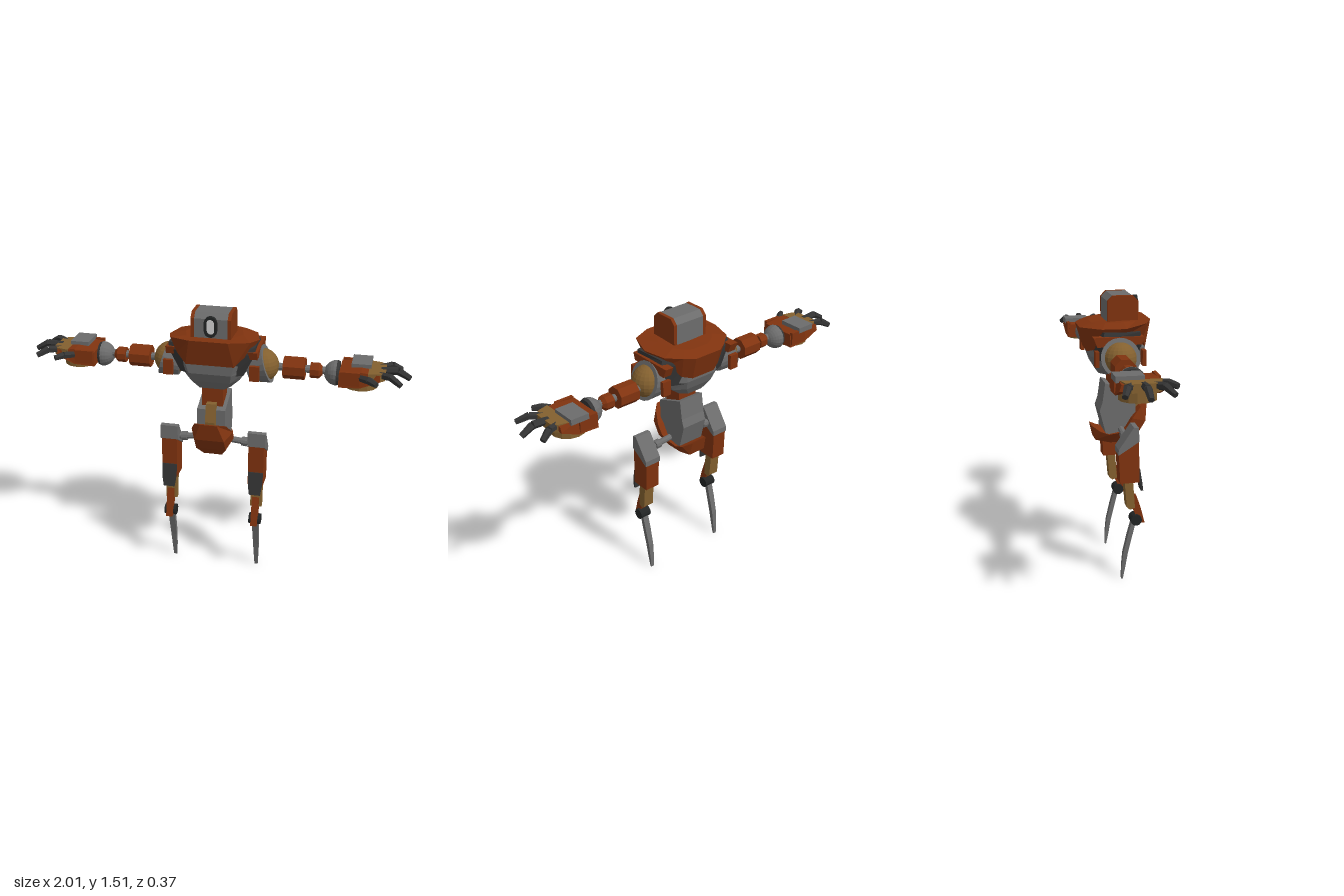
import * as THREE from 'three';

const mat = (name, color) => {
  const m = new THREE.MeshStandardMaterial({ color, flatShading: true });
  m.name = name;
  return m;
};

export function createModel() {
  const rust = mat('rust paint', 0x80330f), grey = mat('steel grey', 0x6c6c6c);
  const dark = mat('dark grey', 0x343434), tan = mat('tan', 0x83602f);
  const black = mat('black rubber', 0x222424), white = mat('pale lens', 0xd4d4d4);
  const model = new THREE.Group();
  model.name = 'robot';

  const add = (parent, name, geo, material, x = 0, y = 0, z = 0) => {
    const m = new THREE.Mesh(geo, material);
    m.name = name;
    m.position.set(x, y, z);
    parent.add(m);
    return m;
  };

  // Skin a closed solid through equal-length rings of points
  const loft = (rings) => {
    const n = rings[0].length, tris = [];
    for (let r = 0; r < rings.length - 1; r++) for (let i = 0; i < n; i++) {
      const j = (i + 1) % n, A = rings[r], B = rings[r + 1];
      tris.push([A[i], A[j], B[j]], [A[i], B[j], B[i]]);
    }
    const end = rings[rings.length - 1], start = rings[0];
    for (let i = 1; i < n - 1; i++) {
      tris.push([end[0], end[i], end[i + 1]], [start[0], start[i + 1], start[i]]);
    }
    const v = (p) => new THREE.Vector3(...p);
    const volume = tris.reduce((s, [a, b, c]) => s + v(a).dot(v(b).cross(v(c))), 0);
    if (volume < 0) tris.forEach((t) => t.reverse());
    const g = new THREE.BufferGeometry();
    g.setAttribute('position', new THREE.Float32BufferAttribute(tris.flat(2), 3));
    g.computeVertexNormals();
    return g;
  };
  // Mirrored horizontal ring from [x, z, y] points, front to back
  const ring = (half, y) => {
    const r = half.map(([x, z, py]) => [x, py ?? y, z]);
    return [...r, ...r.map(([x, py, z]) => [-x, py, z]).reverse()];
  };
  // Side profile of [z, y] points, extruded between two x positions
  const slab = (pts, x0, x1) => loft([x0, x1].map((x) => pts.map(([z, y]) => [x, y, z])));
  const box = (w, h, d) => new THREE.BoxGeometry(w, h, d);
  const cylX = (r0, r1, len, sides) => new THREE.CylinderGeometry(r1, r0, len, sides).rotateZ(-Math.PI / 2);
  const bar = (parent, name, a, b, r0, r1, material, sides = 6) => {
    const A = new THREE.Vector3(...a), B = new THREE.Vector3(...b), d = B.clone().sub(A);
    const mid = A.clone().add(B).multiplyScalar(0.5);
    const m = add(parent, name, new THREE.CylinderGeometry(r1, r0, d.length(), sides), material, mid.x, mid.y, mid.z);
    m.quaternion.setFromUnitVectors(new THREE.Vector3(0, 1, 0), d.normalize());
  };
  const stadium = (w, h, Type = THREE.Shape) => {
    const s = new Type();
    s.absarc(0, h - w, w, 0, Math.PI);
    s.absarc(0, w - h, w, Math.PI, Math.PI * 2);
    s.closePath();
    return s;
  };

  // Head
  const headSide = [[0.118, 1.37], [0.118, 1.485], [0.09, 1.513], [-0.015, 1.513], [-0.042, 1.485], [-0.042, 1.36]];
  add(model, 'headCore', slab(headSide.map(([z, y]) => [z * 0.98, y - 0.001]), -0.088, 0.088), grey);
  for (const s of [-1, 1]) add(model, 'headSidePlate', slab(headSide, s * 0.086, s * 0.104), rust);
  const rim = stadium(0.033, 0.054);
  rim.holes.push(stadium(0.02, 0.04, THREE.Path));
  add(model, 'eyeRim', new THREE.ExtrudeGeometry(rim, { depth: 0.02, bevelEnabled: false, curveSegments: 6 }), black, 0, 1.447, 0.112);
  add(model, 'eyeLens', new THREE.ExtrudeGeometry(stadium(0.021, 0.041), { depth: 0.006, bevelEnabled: false, curveSegments: 6 }), white, 0, 1.447, 0.115);

  // Flared collar, dark rib cage and grey lower chest
  add(model, 'collar', loft([
    ring([[0.125, 0.15, 1.25], [0.175, 0.125, 1.3], [0.2, 0.03, 1.325], [0.18, -0.08, 1.31], [0.12, -0.12, 1.24], [0.07, -0.145, 1.225]]),
    ring([[0.1, 0.182, 1.388], [0.205, 0.14, 1.385], [0.235, 0.03, 1.365], [0.205, -0.09, 1.36], [0.135, -0.15, 1.357], [0.08, -0.184, 1.353]]),
    ring([[0.08, 0.13, 1.385], [0.13, 0.1, 1.385], [0.15, 0.03, 1.385], [0.13, -0.06, 1.38], [0.09, -0.1, 1.375], [0.05, -0.12, 1.372]]),
  ]), rust);
  add(model, 'ribCage', loft([
    ring([[0.11, 0.125], [0.165, 0.1], [0.175, -0.085], [0.09, -0.12]], 1.19),
    ring([[0.13, 0.14], [0.225, 0.105], [0.225, -0.09], [0.1, -0.125]], 1.31),
    ring([[0.12, 0.13], [0.225, 0.1], [0.215, -0.08], [0.1, -0.12]], 1.345),
  ]), dark);
  add(model, 'lowerChest', loft([
    ring([[0.065, 0.09], [0.09, 0.04], [0.08, -0.05], [0.045, -0.08]], 1.1),
    ring([[0.1, 0.125], [0.14, 0.06], [0.14, -0.07], [0.08, -0.11]], 1.15),
    ring([[0.11, 0.148], [0.17, 0.07], [0.17, -0.08], [0.09, -0.128]], 1.2),
    ring([[0.125, 0.15], [0.18, 0.07], [0.18, -0.08], [0.09, -0.128]], 1.25),
  ]), grey);

  // Waist, pelvis and rounded belly plate
  add(model, 'waist', box(0.112, 0.17, 0.105), rust, 0, 1.04, 0.033);
  add(model, 'pelvis', slab([[0.115, 0.99], [-0.05, 1.05], [-0.065, 0.945], [-0.08, 0.9], [-0.045, 0.765], [0.05, 0.77], [0.115, 0.86]], -0.075, 0.075), grey);
  add(model, 'bellyStrip', slab([[0.122, 1.025], [0.09, 1.025], [0.1, 0.83], [0.14, 0.83], [0.148, 0.93]], -0.026, 0.026), tan);
  // Stations: outer z, y, half width, then inner z, y, half width
  add(model, 'bellyPlate', loft([
    [0.182, 0.93, 0.045, 0.14, 0.915, 0.085], [0.168, 0.835, 0.08, 0.09, 0.86, 0.112],
    [0.125, 0.765, 0.08, 0.06, 0.81, 0.11], [0.075, 0.713, 0.05, 0.03, 0.78, 0.095],
    [-0.02, 0.715, 0.05, -0.03, 0.77, 0.09], [-0.1, 0.735, 0.05, -0.075, 0.785, 0.08],
    [-0.118, 0.812, 0.045, -0.1, 0.8, 0.06],
  ].map(([oz, oy, ow, iz, iy, iw]) => [[-ow, oy, oz], [ow, oy, oz], [iw, iy, iz], [-iw, iy, iz]])), rust);

  for (const s of [1, -1]) {
    const side = s > 0 ? 'left' : 'right';
    const arm = new THREE.Group(), leg = new THREE.Group();
    arm.name = side + 'Arm';
    leg.name = side + 'Leg';
    arm.scale.x = leg.scale.x = s;
    model.add(arm, leg);

    // Shoulder
    add(arm, 'shoulderGuard', slab([[0.12, 1.325], [0.11, 1.285], [-0.12, 1.275], [-0.14, 1.325]], 0.19, 0.238), rust);
    for (const z of [0.12, -0.122]) add(arm, 'shoulderFin', box(0.05, 0.08, 0.02), rust, 0.225, 1.215, z);
    add(arm, 'shoulderSocket', cylX(0.075, 0.102, 0.1, 20), grey, 0.225, 1.212, -0.008).rotation.z = 0.3;
    add(arm, 'shoulderBall', new THREE.SphereGeometry(0.088, 20, 14), tan, 0.243, 1.215, -0.008);

    // Arm
    add(arm, 'armShaft', cylX(0.02, 0.02, 0.36, 10), grey, 0.47, 1.207, -0.024);
    add(arm, 'upperArmSleeve', cylX(0.058, 0.058, 0.112, 8).rotateX(Math.PI / 8), rust, 0.41, 1.207, -0.024);
    add(arm, 'elbowSleeve', cylX(0.04, 0.04, 0.045, 8).rotateX(Math.PI / 8), rust, 0.515, 1.203, -0.024);
    add(arm, 'elbowTip', cylX(0.04, 0.022, 0.018, 8).rotateX(Math.PI / 8), rust, 0.5465, 1.203, -0.024);
    const dome = new THREE.SphereGeometry(0.066, 18, 7, 0, Math.PI * 2, 0, Math.PI / 2).rotateZ(Math.PI / 2);
    add(arm, 'wristDome', dome, grey, 0.628, 1.197, -0.03);
    add(arm, 'wristRim', cylX(0.066, 0.06, 0.015, 18), dark, 0.635, 1.197, -0.03);

    // Hand: rust cuff, grey back plate and round tan palm
    add(arm, 'handCuff', loft([[0.645, 1.16, 1.235], [0.755, 1.165, 1.245], [0.85, 1.205, 1.235]].map(([x, y0, y1]) =>
      [[x, y0, 0.075], [x, y1, 0.065], [x, y1, -0.125], [x, y0, -0.135]])), rust);
    for (const z of [0.07, -0.13]) add(arm, 'cuffRail', box(0.1, 0.07, 0.018), rust, 0.7, 1.21, z);
    add(arm, 'handPlate', box(0.1, 0.03, 0.135), grey, 0.75, 1.247, -0.075);
    add(arm, 'palm', new THREE.CylinderGeometry(0.09, 0.09, 0.055, 14), tan, 0.75, 1.17, -0.03);
    add(arm, 'knuckleBlock', loft([[0.79, 0.1], [0.85, 0.085], [0.875, 0.06]].map(([x, w]) =>
      [[x, 1.2, -0.025 + w], [x, 1.243, -0.025 + w], [x, 1.243, -0.025 - w], [x, 1.2, -0.025 - w]])), tan);

    // Fingers and thumb: base, knuckle and tip
    [[[0.84, 1.225, -0.08], [0.9, 1.233, -0.108], [0.95, 1.205, -0.13]],
      [[0.85, 1.23, -0.025], [0.935, 1.235, -0.025], [0.998, 1.2, -0.025]],
      [[0.84, 1.225, 0.025], [0.9, 1.233, 0.062], [0.955, 1.205, 0.095]],
      [[0.75, 1.215, 0.06], [0.8, 1.222, 0.105], [0.838, 1.215, 0.137]],
    ].forEach(([a, b, c]) => {
      bar(arm, 'fingerBase', a, b, 0.018, 0.02, dark);
      bar(arm, 'fingerTip', b, c, 0.02, 0.015, dark);
    });

    // Hip and thigh
    bar(leg, 'hipShaft', [0.06, 0.795, 0.035], [0.2, 0.782, 0.035], 0.017, 0.017, grey, 10);
    bar(leg, 'hipJoint', [0.15, 0.787, 0.035], [0.18, 0.784, 0.035], 0.025, 0.025, grey, 10);
    add(leg, 'hipCap', slab([[0.085, 0.86], [0.06, 0.862], [-0.02, 0.745], [-0.02, 0.715], [0.09, 0.785]], 0.19, 0.285), grey);
    add(leg, 'thigh', slab([[0.088, 0.785], [-0.018, 0.717], [-0.01, 0.558], [0.093, 0.56]], 0.196, 0.279), rust);
    add(leg, 'kneeGuard', loft([[0.635, 0.095, 0.041], [0.56, 0.108, 0.038], [0.508, 0.116, 0.03]].map(([y, z, w]) =>
      [[0.238 - w, y, z], [0.238 + w, y, z], [0.238 + w, y, z - 0.012], [0.238 - w, y, z - 0.012]])), dark);

    // Shin, ankle and curved blade
    add(leg, 'shin', slab([[0.06, 0.57], [0.015, 0.57], [0.028, 0.42], [0.045, 0.405], [0.072, 0.415]], 0.208, 0.268), tan);
    add(leg, 'ankleUpper', slab([[0.082, 0.478], [0.105, 0.41], [0.075, 0.38], [0.057, 0.415], [0.06, 0.465]], 0.22, 0.256), rust);
    add(leg, 'ankleLower', slab([[0.105, 0.41], [0.128, 0.32], [0.09, 0.325], [0.075, 0.38]], 0.22, 0.256), rust);
    add(leg, 'ankleJoint', cylX(0.03, 0.03, 0.064, 14), black, 0.238, 0.343, 0.08);
    add(leg, 'footBlade', loft([[0.34, 0.083, 0.06, 0.017], [0.25, 0.061, 0.036, 0.017], [0.15, 0.038, 0.013, 0.015],
      [0.07, 0.025, 0.005, 0.012], [0, 0.012, 0.004, 0.009]].map(([y, z0, z1, w]) =>
      [[0.238 - w, y, z0], [0.238 + w, y, z0], [0.238 + w, y, z1], [0.238 - w, y, z1]])), grey);
  }
  return model;
}
